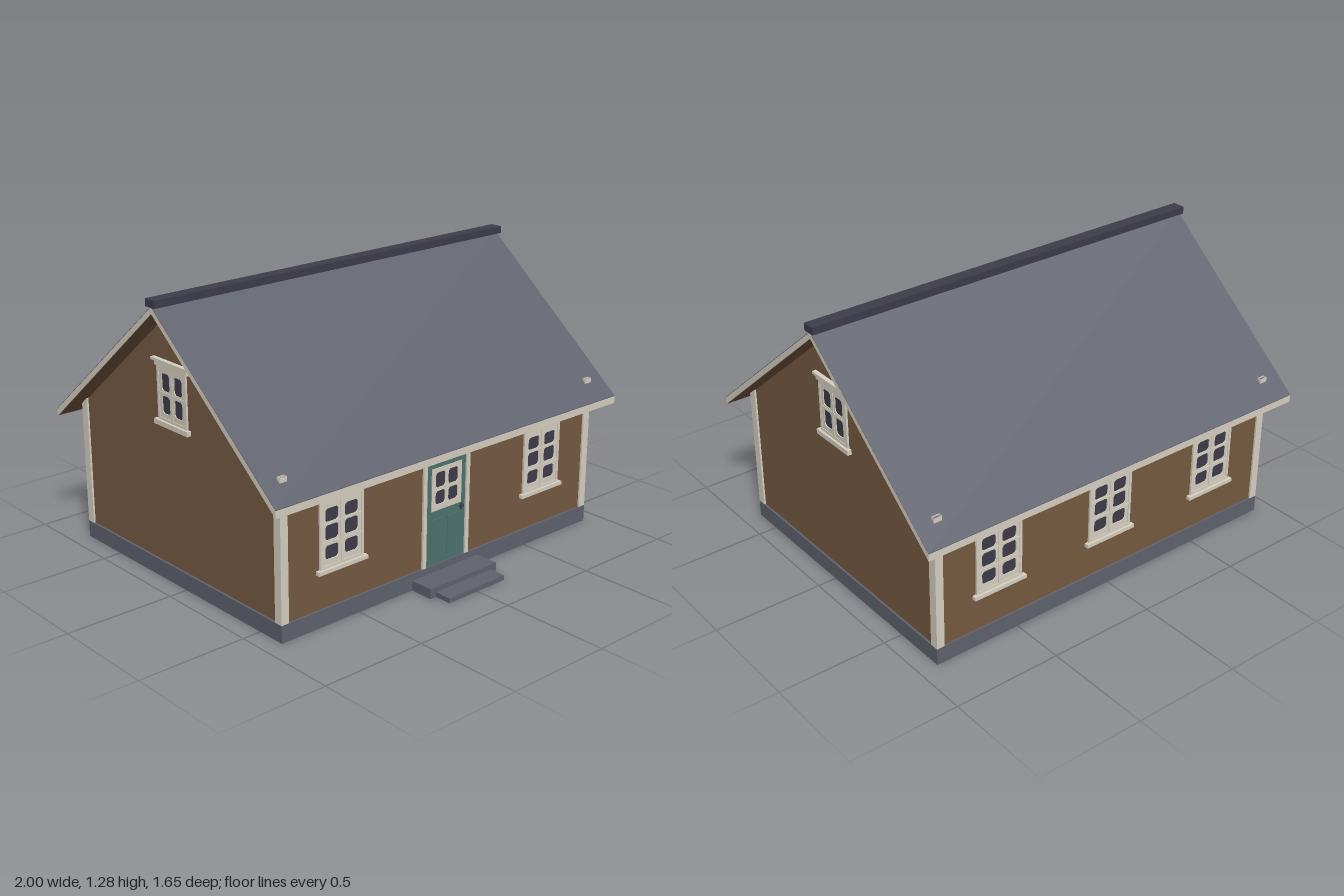
import * as THREE from 'three';

const mat = (name, color, side = THREE.FrontSide) => {
  const m = new THREE.MeshStandardMaterial({ color, side });
  m.name = name;
  return m;
};

export function createModel() {
  const brown = mat('brown walls', 0x775b41);
  const cream = mat('cream trim', 0xd8d2c2, THREE.DoubleSide);
  const slate = mat('slate grey', 0x60636f, THREE.DoubleSide);
  const dark = mat('dark glass and ridge', 0x3e3c4b);
  const teal = mat('teal door', 0x50756f);

  const model = new THREE.Group();
  model.name = 'cottage';
  const house = new THREE.Group();
  house.name = 'house';
  house.position.z = -0.057;
  model.add(house);

  const W = 0.913, D = 0.693;         // half width and half depth of the base
  const wallX = 0.904, wallZ = 0.685; // outer wall faces
  const floorY = 0.078;               // top of the foundation
  const TOP = 2, BOTTOM = 3;          // box face numbers

  function mesh(parent, name, geometry, material) {
    const m = new THREE.Mesh(geometry, material);
    m.name = name;
    parent.add(m);
    return m;
  }
  // Box given by its limits, optionally open on one face
  function box(parent, name, material, x0, x1, y0, y1, z0, z1, openFace = -1) {
    const g = new THREE.BoxGeometry(x1 - x0, y1 - y0, z1 - z0);
    if (openFace >= 0) {
      g.setIndex([...g.index.array].filter((_, i) => Math.floor(i / 6) !== openFace));
      g.clearGroups();
    }
    const m = mesh(parent, name, g, material);
    m.position.set((x0 + x1) / 2, (y0 + y1) / 2, (z0 + z1) / 2);
    return m;
  }
  // Profile in (z, y) extruded along x
  function prism(name, material, points, halfLength) {
    const shape = new THREE.Shape(points.map(p => new THREE.Vector2(...p)));
    const g = new THREE.ExtrudeGeometry(shape, { depth: halfLength * 2, bevelEnabled: false });
    g.translate(0, 0, -halfLength).rotateY(Math.PI / 2);
    return mesh(house, name, g, material);
  }
  function rect(path, x0, x1, y0, y1) {
    path.moveTo(x0, y0);
    path.lineTo(x1, y0);
    path.lineTo(x1, y1);
    path.lineTo(x0, y1);
    path.closePath();
    return path;
  }
  // Pane opening with rounded corners
  function paneHole(x0, x1, y0, y1) {
    const c = 0.012, p = new THREE.Path();
    p.moveTo(x0 + c, y0);
    p.lineTo(x1 - c, y0);
    p.quadraticCurveTo(x1 - c / 4, y0 + c / 4, x1, y0 + c);
    p.lineTo(x1, y1 - c);
    p.quadraticCurveTo(x1 - c / 4, y1 - c / 4, x1 - c, y1);
    p.lineTo(x0 + c, y1);
    p.quadraticCurveTo(x0 + c / 4, y1 - c / 4, x0, y1 - c);
    p.lineTo(x0, y0 + c);
    p.quadraticCurveTo(x0 + c / 4, y0 + c / 4, x0 + c, y0);
    return p;
  }
  function frame(parent, name, outer, holes, depth, z) {
    const s = rect(new THREE.Shape(), ...outer);
    s.holes.push(...holes);
    const g = new THREE.ExtrudeGeometry(s, { depth, bevelEnabled: false, curveSegments: 3 });
    mesh(parent, name, g, cream).position.z = z;
  }
  // Two columns of panes in a sash, with glass behind
  function glazing(parent, hw, y0, y1, x0, x1, rows, z) {
    const holes = [];
    for (const s of [-1, 1]) for (const [a, b] of rows) {
      holes.push(s > 0 ? paneHole(x0, x1, a, b) : paneHole(-x1, -x0, a, b));
    }
    frame(parent, 'sash', [-hw, hw, y0, y1], holes, 0.004, z + 0.002);
    box(parent, 'glass', dark, -hw + 0.005, hw - 0.005, y0 + 0.005, y1 - 0.005, z - 0.002, z + 0.001);
  }
  // Header board with projecting cap
  function header(parent, hw, y) {
    box(parent, 'header', cream, -hw, hw, y, y + 0.021, 0, 0.011);
    box(parent, 'headerCap', cream, -hw - 0.012, hw + 0.012, y + 0.021, y + 0.033, 0, 0.02);
  }
  // Window in local coordinates: wall at z = 0
  function windowUnit(name, hw, y0, y1, x0, x1, rows, rails, sillHeight) {
    const g = new THREE.Group();
    g.name = name;
    const hole = rect(new THREE.Path(), -hw + 0.013, hw - 0.013, y0 + 0.012, y1 - 0.012);
    frame(g, 'casing', [-hw, hw, y0, y1], [hole], 0.009, 0);
    glazing(g, hw - 0.011, y0 + 0.01, y1 - 0.01, x0, x1, rows, 0);
    box(g, 'meetingStile', cream, -0.006, 0.006, y0 + 0.012, y1 - 0.012, 0.004, 0.009);
    for (const y of rails) box(g, 'rail', cream, -hw + 0.013, hw - 0.013, y - 0.004, y + 0.004, 0.005, 0.009);
    header(g, hw + 0.012, y1);
    box(g, 'sill', cream, -hw - 0.016, hw + 0.016, y0 - sillHeight, y0, 0, 0.02);
    house.add(g);
    return g;
  }

  // Foundation, hollow underneath, and walls
  box(house, 'foundation', slate, -W, W, 0, floorY - 0.001, -D, D, BOTTOM);
  prism('walls', brown, [[-wallZ, floorY], [wallZ, floorY], [wallZ, 0.65], [0, 1.214], [-wallZ, 0.65]], wallX);

  // Corner boards, open at the top; the front and back ones pierce the roof
  for (const sx of [-1, 1]) for (const sz of [-1, 1]) {
    const front = box(house, 'cornerBoard', cream, 0.875, W, floorY, 0.705, D - 0.018, D, TOP);
    const side = box(house, 'sideCornerBoard', cream, 0.89, W, floorY, 0.68, D - 0.041, D - 0.017, TOP);
    for (const b of [front, side]) {
      b.position.x *= sx;
      b.position.z *= sz;
    }
  }

  // Roof: trim-coloured slab with slate covering and brown soffit
  const E = 0.769, L = 0.995;
  prism('roofEdge', cream, [[-E, 0.584], [0, 1.22], [E, 0.584], [E, 0.617], [0, 1.248], [-E, 0.617]], L);
  prism('roofCovering', slate, [[-E, 0.617], [0, 1.248], [E, 0.617], [E, 0.62], [0, 1.251], [-E, 0.62]], L);
  prism('soffit', brown, [[-E + 0.01, 0.59], [0, 1.218], [E - 0.01, 0.59], [E - 0.01, 0.594], [0, 1.222], [-E + 0.01, 0.594]], L - 0.002);
  box(house, 'ridge', dark, -1, 1, 1.247, 1.28, -0.03, 0.03);

  // Long wall windows: two at the front, three at the back
  const rows = [[0.29, 0.35], [0.373, 0.438], [0.452, 0.51]];
  for (const [x, s] of [[-0.595, 1], [0.595, 1], [-0.595, -1], [0, -1], [0.595, -1]]) {
    const w = windowUnit(s > 0 ? 'frontWindow' : 'backWindow', 0.116, 0.253, 0.545, 0.017, 0.087, rows, [0.362, 0.445], 0.017);
    w.position.set(x, 0, s * wallZ);
    if (s < 0) w.rotation.y = Math.PI;
  }
  // Gable windows
  for (const s of [-1, 1]) {
    const w = windowUnit('gableWindow', 0.1, 0.733, 0.967, 0.016, 0.07,
      [[0.765, 0.842], [0.863, 0.94]], [0.853], 0.022);
    w.position.x = s * wallX;
    w.rotation.y = s * Math.PI / 2;
  }

  // Front door
  const door = new THREE.Group();
  door.name = 'frontDoor';
  door.position.set(-0.004, 0, wallZ);
  house.add(door);
  box(door, 'doorLeaf', teal, -0.12, 0.12, floorY, 0.546, 0, 0.002);
  for (const s of [-1, 1]) {
    const jamb = box(door, 'doorJamb', cream, 0.117, 0.137, floorY, 0.546, 0, 0.01);
    jamb.position.x *= s;
    const panel = box(door, 'doorPanel', teal, 0.011, 0.088, 0.11, 0.287, 0.001, 0.006);
    panel.position.x *= s;
  }
  header(door, 0.139, 0.546);
  glazing(door, 0.088, 0.328, 0.52, 0.009, 0.066, [[0.355, 0.416], [0.432, 0.5]], 0.002);
  box(door, 'lockPlate', dark, 0.088, 0.1, 0.29, 0.32, 0.001, 0.006);
  box(door, 'handle', dark, 0.078, 0.1, 0.306, 0.314, 0.005, 0.016);

  // Entrance steps, hollow underneath
  box(model, 'upperStep', slate, -0.2, 0.197, 0, 0.045, D - 0.057, 0.747, BOTTOM);
  box(model, 'lowerStep', slate, -0.168, 0.165, 0, 0.022, 0.747, 0.826, BOTTOM);

  return model;
}
